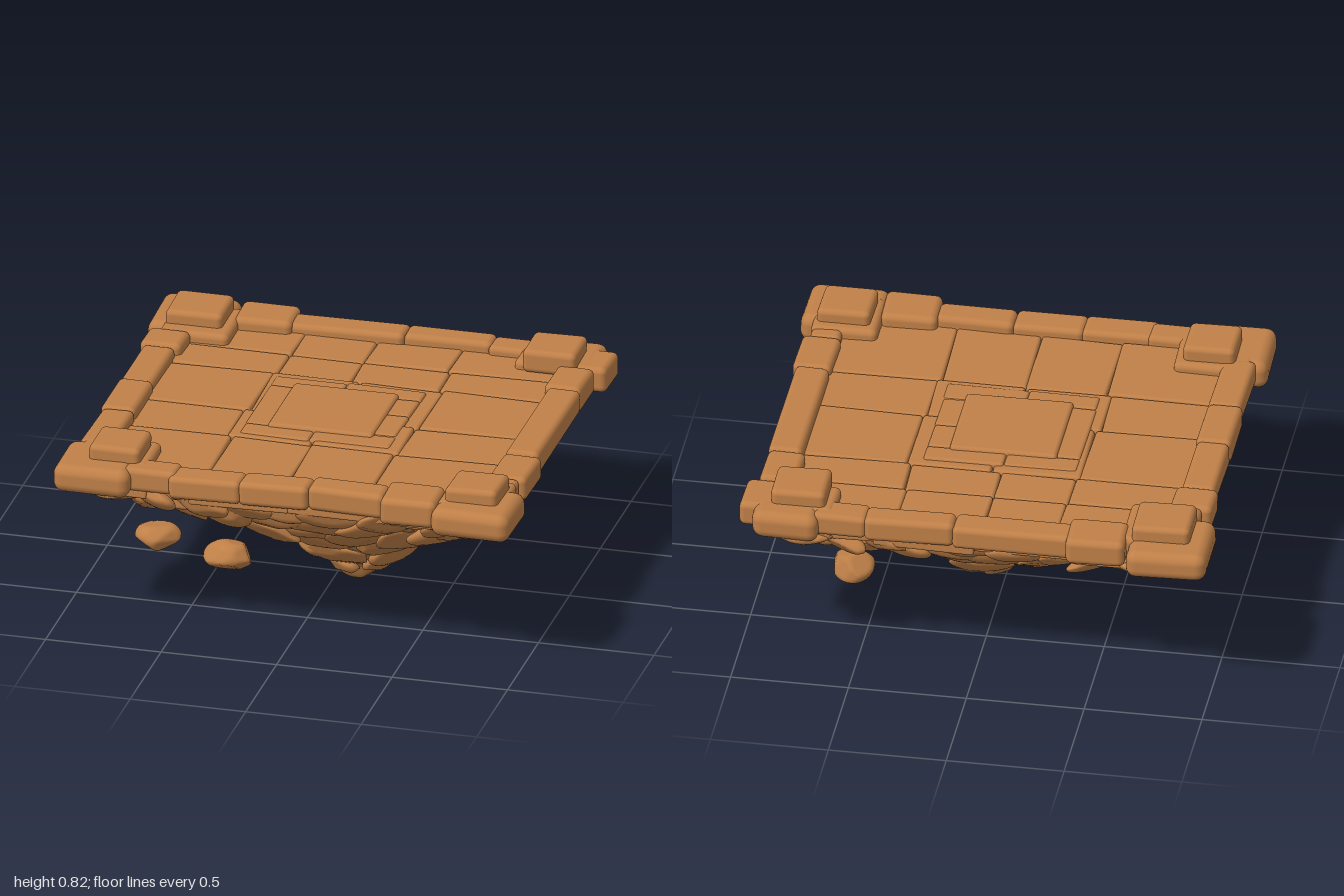
import * as THREE from 'three';
import { mergeVertices } from 'three/addons/utils/BufferGeometryUtils.js';
import { RoundedBoxGeometry } from 'three/addons/geometries/RoundedBoxGeometry.js';

export function createModel() {
  const model = new THREE.Group();
  const sandstone = new THREE.MeshStandardMaterial({ color: 0xc08048 });
  sandstone.name = 'sandstone';

  let seed = 7;
  const rand = () => (seed = (seed * 16807) % 2147483647) / 2147483647;
  const vary = (a) => (rand() * 2 - 1) * a;

  const add = (name, geometry, parent) => {
    const mesh = new THREE.Mesh(geometry, sandstone);
    mesh.name = name;
    parent.add(mesh);
    return mesh;
  };
  const section = (name) => {
    const g = new THREE.Group();
    g.name = name;
    model.add(g);
    return g;
  };

  // Worn block given by its extents, with gently warped corners
  const block = (parent, name, x0, x1, y0, y1, z0, z1, warp = 0.004, round = 0.24) => {
    const w = x1 - x0, h = y1 - y0, d = z1 - z0;
    const geo = new RoundedBoxGeometry(w, h, d, 3, Math.min(w, h, d) * round);
    const p = geo.attributes.position, k = rand() * 6;
    for (let i = 0; i < p.count; i++) {
      const x = p.getX(i), y = p.getY(i), z = p.getZ(i);
      p.setXYZ(i, x + warp * Math.sin(7 * z + 9 * y + k),
        y + warp * 0.6 * Math.sin(6 * x + 7 * z + 2 * k),
        z + warp * Math.sin(7 * x + 9 * y + 3 * k));
    }
    const m = add(name, geo, parent);
    m.position.set((x0 + x1) / 2, (y0 + y1) / 2, (z0 + z1) / 2);
    return m;
  };

  // Boulder: a sphere chiselled by random planes, with smooth normals
  const boulder = (parent, name, sx, sy, sz) => {
    let geo = new THREE.IcosahedronGeometry(1, 6);
    geo.deleteAttribute('uv');
    geo.deleteAttribute('normal');
    geo = mergeVertices(geo, 1e-4);
    const cuts = Array.from({ length: 10 }, () => ({
      n: new THREE.Vector3(vary(1), vary(1), vary(1)).normalize(), d: 0.74 + rand() * 0.16,
    }));
    const p = geo.attributes.position, v = new THREE.Vector3();
    for (let i = 0; i < p.count; i++) {
      v.fromBufferAttribute(p, i);
      let r = 1;
      for (const c of cuts) {
        const dot = v.dot(c.n);
        if (dot > 0) r = Math.min(r, c.d / dot);
      }
      p.setXYZ(i, v.x * r * sx, v.y * r * sy, v.z * r * sz);
    }
    geo.computeVertexNormals();
    return add(name, geo, parent);
  };

  // Floor: base slab and rows of paving tiles
  const floor = section('floor');
  block(floor, 'floorSlab', -0.84, 0.84, 0.59, 0.685, -0.79, 0.79, 0);
  const rows = [-0.77, -0.54, -0.34, 0.05, 0.33, 0.75];
  const columns = [-0.83, -0.37, -0.02, 0.35, 0.83];
  for (let r = 0; r < rows.length - 1; r++) {
    const cuts = columns.map((x, i) => (i % 4 ? x + vary(0.03) : x));
    for (let c = 0; c < 4; c++) {
      block(floor, 'pavingTile', cuts[c], cuts[c + 1], 0.65, 0.708 + vary(0.004), rows[r], rows[r + 1]);
    }
  }

  // Raised centre: border of slabs around a square plate
  const centre = section('centrePlatform');
  for (const [x0, x1, z0, z1] of [
    [-0.35, -0.04, -0.3, -0.2], [-0.04, 0.3, -0.3, -0.2],
    [-0.35, -0.05, 0.2, 0.3], [-0.05, 0.3, 0.18, 0.3],
    [-0.35, -0.24, -0.2, 0.2], [0.19, 0.3, -0.2, -0.03], [0.19, 0.3, -0.03, 0.18],
  ]) block(centre, 'borderSlab', x0, x1, 0.66, 0.718, z0, z1, 0.003);
  block(centre, 'centrePlate', -0.25, 0.205, 0.66, 0.732, -0.22, 0.22);

  // Rim stones: x0, x1, top, z0, z1
  const rim = section('rim');
  for (const [x0, x1, top, z0, z1] of [
    [-0.65, -0.4, 0.765, -0.92, -0.72], [-0.43, 0.08, 0.75, -0.885, -0.75],
    [0.08, 0.46, 0.755, -0.88, -0.76], [0.45, 0.68, 0.745, -0.87, -0.74],
    [-0.7, -0.47, 0.75, 0.74, 0.87], [-0.5, -0.19, 0.745, 0.75, 0.89],
    [-0.2, 0.1, 0.75, 0.74, 0.88], [0.1, 0.43, 0.755, 0.735, 0.87], [0.42, 0.66, 0.765, 0.71, 0.92],
    [-0.97, -0.79, 0.76, -0.57, -0.4], [-0.95, -0.81, 0.75, -0.4, -0.02],
    [-0.96, -0.81, 0.755, -0.03, 0.28], [-0.95, -0.81, 0.75, 0.27, 0.64],
    [0.78, 0.94, 0.76, -0.63, -0.4], [0.8, 0.945, 0.755, -0.4, 0.28],
    [0.79, 0.955, 0.75, 0.28, 0.53], [0.8, 0.93, 0.745, 0.52, 0.66],
  ]) block(rim, 'rimStone', x0, x1, 0.645, top, z0, z1);

  // Corner piers: broad footing, overlapping step and small cap
  const corners = section('corners');
  for (const [foot, step, cap] of [
    [[-1, -0.66, -0.96, -0.62], [-0.93, -0.63, -0.85, -0.55], [-0.915, -0.67, -0.85, -0.62]],
    [[0.65, 0.93, -0.92, -0.65], [0.59, 0.99, -0.84, -0.63], [0.63, 0.86, -0.82, -0.6]],
    [[-1, -0.67, 0.6, 0.92], [-0.94, -0.61, 0.55, 0.82], [-0.87, -0.65, 0.59, 0.81]],
    [[0.65, 0.99, 0.65, 0.955], [0.65, 0.93, 0.58, 0.86], [0.685, 0.91, 0.625, 0.84]],
  ]) {
    block(corners, 'cornerFooting', foot[0], foot[1], 0.625, 0.75, foot[2], foot[3], 0.004, 0.36);
    block(corners, 'cornerStep', step[0], step[1], 0.64, 0.752, step[2], step[3]);
    block(corners, 'cornerCap', cap[0], cap[1], 0.71, 0.813, cap[2], cap[3]);
  }

  // Thin stepped courses beneath the rim on all four sides
  const courses = section('lowerCourses');
  for (let side = 0; side < 4; side++) {
    const g = new THREE.Group();
    g.name = 'courseSide';
    g.rotation.y = side * Math.PI / 2;
    courses.add(g);
    const out = side % 2 ? 0.88 : 0.84;
    for (let i = 0; i < 4; i++) {
      const a = -0.84 + i * 0.42;
      block(g, 'upperCourse', a, a + 0.43, 0.61 + vary(0.008), 0.655, 0.6, out + vary(0.02));
    }
    for (const [a, b] of [[-0.62, -0.32], [0.33, 0.72]]) {
      block(g, 'lowerCourse', a, b, 0.55 + vary(0.015), 0.62, 0.5, 0.75 + vary(0.03));
    }
  }

  // Hanging rock core: square at the top, round towards the off-centre tip
  const profile = [[0.62, 0.8], [0.54, 0.7], [0.43, 0.52], [0.32, 0.365], [0.2, 0.23], [0.1, 0.12], [0.03, 0.05]];
  const radiusAt = (y) => {
    for (let i = 0; i < profile.length - 1; i++) {
      const [ya, ra] = profile[i], [yb, rb] = profile[i + 1];
      if (y >= yb) return ra + (rb - ra) * (ya - y) / (ya - yb);
    }
    return 0.05;
  };
  const onCore = (y, t) => {
    const p = 2 + 7 * Math.max(0, (y - 0.24) / 0.38), c = Math.cos(t), s = Math.sin(t);
    const r = radiusAt(y) * (Math.abs(c) ** p + Math.abs(s) ** p) ** (-1 / p);
    const lean = Math.min(1, 1.5 * (1 - y / 0.62));
    return new THREE.Vector3(c * r + 0.095 * lean, y, s * r + 0.02 * lean);
  };
  const around = 48, points = [], faces = [];
  for (const [y] of profile) {
    for (let i = 0; i < around; i++) points.push(...onCore(y, i / around * Math.PI * 2).toArray());
  }
  for (let k = 0; k < profile.length - 1; k++) {
    for (let i = 0; i < around; i++) {
      const j = (i + 1) % around, a = k * around + i, b = k * around + j;
      faces.push(a, b, a + around, b, b + around, a + around);
    }
  }
  const core = new THREE.BufferGeometry();
  core.setAttribute('position', new THREE.Float32BufferAttribute(points, 3));
  core.setIndex(faces);
  core.computeVertexNormals();
  const rocks = section('hangingRock');
  add('rockCore', core, rocks);

  // Broad, shallow boulders set into the core, tilted to lie along the slope
  for (const [y, n, w, h] of [[0.585, 26, 0.15, 0.08], [0.51, 20, 0.18, 0.11], [0.41, 13, 0.18, 0.13], [0.29, 9, 0.17, 0.13], [0.17, 6, 0.13, 0.11], [0.09, 4, 0.08, 0.08]]) {
    for (let i = 0; i < n; i++) {
      const t = (i + 0.5 + vary(0.2)) / n * Math.PI * 2;
      const at = onCore(y + vary(0.02), t);
      const m = boulder(rocks, 'boulder', w * (1 + vary(0.2)), h * (1 + vary(0.15)), 0.045 + vary(0.012));
      m.position.copy(at);
      m.lookAt(at.x + Math.cos(t), at.y - 1.2, at.z + Math.sin(t));
      m.rotateZ(vary(0.3));
    }
  }
  boulder(rocks, 'tipBoulder', 0.11, 0.085, 0.11).position.set(0.1, 0.076, 0.02);

  // Boulders tucked under each corner
  for (const sx of [-1, 1]) {
    for (const sz of [-1, 1]) {
      boulder(rocks, 'cornerBoulder', 0.18, 0.06, 0.18).position.set(sx * 0.74, 0.625, sz * 0.72);
      boulder(rocks, 'innerCornerBoulder', 0.17, 0.08, 0.17).position.set(sx * 0.62, 0.57, sz * 0.61);
    }
  }

  // Loose stones floating beside the rock
  const loose = section('floatingStones');
  for (const [x, y, z, sx, sy, sz] of [
    [-0.63, 0.322, 0.56, 0.1, 0.062, 0.09],
    [-0.355, 0.215, 0.45, 0.11, 0.066, 0.085],
    [0.56, 0.3, -0.52, 0.09, 0.072, 0.105],
  ]) boulder(loose, 'floatingStone', sx, sy, sz).position.set(x, y, z);

  return model;
}
